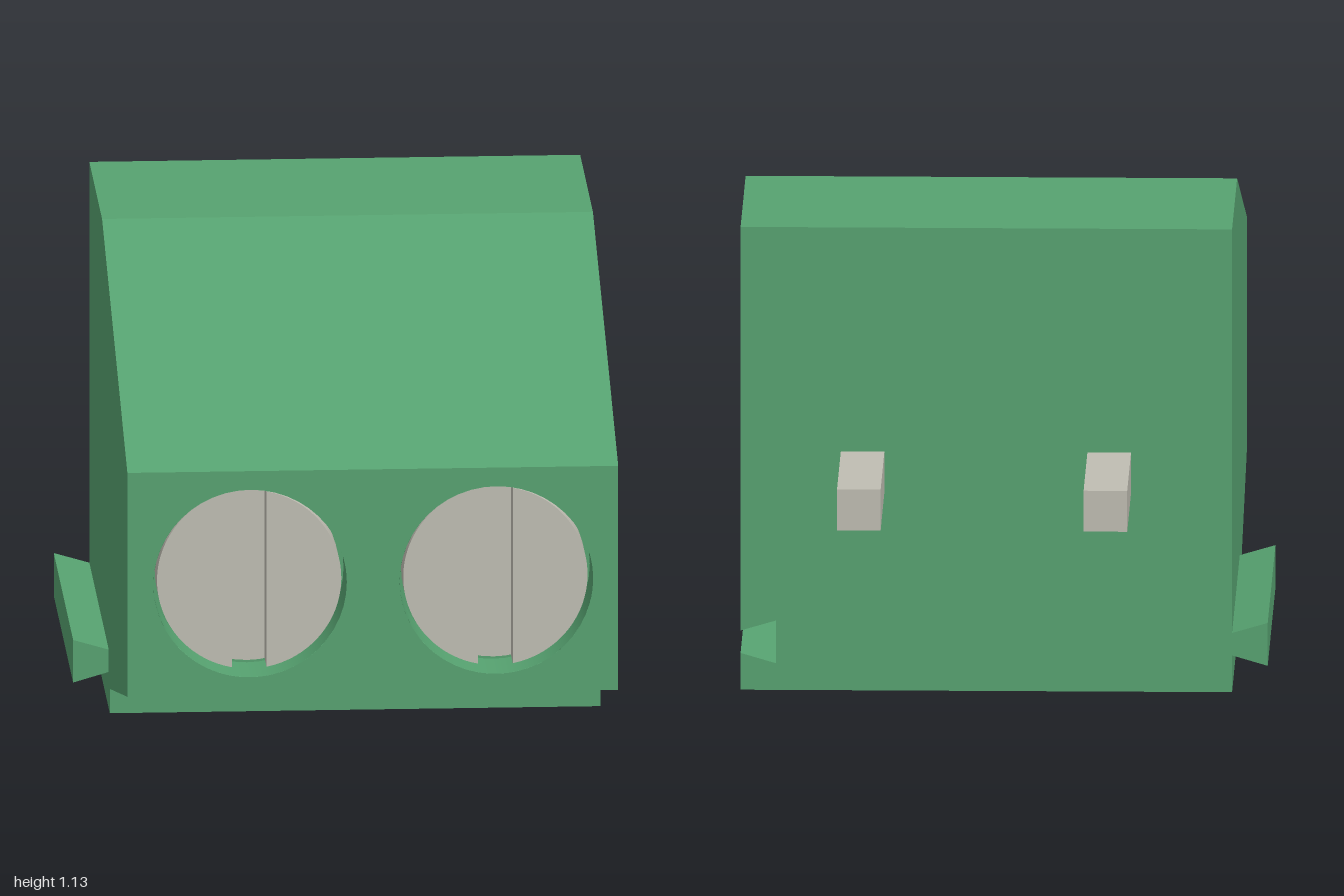
import * as THREE from 'three';

const LEFT = 0.627, RIGHT = -0.545;      // body sides
const BACK = -0.6, FRONT = 1;
const RAIL_END = 0.215;                  // front end of rail and groove
const UNITS = [-0.252, 0.336];           // x of the two terminals
const SCREW_Y = 0.51, HOLE_R = 0.231, SCREW_R = 0.22, SLOT = 0.0415;

const shapeOf = (pts) => new THREE.Shape(pts.map(([x, y]) => new THREE.Vector2(x, y)));

// Quad strips through a list of cross-sections, flat shaded
function loft(sections, closed = false) {
  const n = sections[0].length, index = [];
  for (let i = 0; i < sections.length - 1; i++) {
    for (let j = 0; j < (closed ? n : n - 1); j++) {
      const a = i * n + j, b = i * n + (j + 1) % n, c = b + n, d = a + n;
      index.push(a, b, c, a, c, d);
    }
  }
  const g = new THREE.BufferGeometry();
  g.setAttribute('position', new THREE.Float32BufferAttribute(sections.flat(2), 3));
  g.setIndex(index);
  const flat = g.toNonIndexed();
  flat.computeVertexNormals();
  return flat;
}

export function createModel() {
  const plastic = new THREE.MeshStandardMaterial({ color: 0x56a270, side: THREE.DoubleSide });
  plastic.name = 'green plastic';
  const metal = new THREE.MeshStandardMaterial({ color: 0xbfbdb2 });
  metal.name = 'grey metal';

  const model = new THREE.Group();
  model.name = 'terminalBlock';
  const housing = new THREE.Group();
  housing.name = 'housing';
  model.add(housing);

  const add = (parent, name, geometry, material) => {
    const mesh = new THREE.Mesh(geometry, material);
    mesh.name = name;
    parent.add(mesh);
    return mesh;
  };
  const panel = (name, shape) => add(housing, name, new THREE.ShapeGeometry(shape, 48), plastic);

  // Side profile as [z, y]
  const under = [[0.26, 0], [0.26, 0.06], [FRONT, 0.235]];
  const roof = [[FRONT, 0.787], [-0.065, 1.133], [BACK, 1.133]];
  const strip = (pts) => loft([LEFT, RIGHT].map((x) => pts.map(([z, y]) => [x, y, z])));
  add(housing, 'underside', strip(under), plastic);
  add(housing, 'roof', strip(roof), plastic);

  // Right wall, and left wall with the groove mouth cut out
  panel('rightWall', shapeOf([[BACK, 0], ...under, ...roof])).rotation.y = -Math.PI / 2;
  housing.children.at(-1).position.x = RIGHT;
  const mouth = [[BACK, 0.145], [RAIL_END, 0.145], [RAIL_END, 0.09], [BACK, 0.09]];
  const leftWall = panel('leftWall',
    shapeOf([[BACK, 0], ...under, ...roof, ...mouth].map(([z, y]) => [-z, y])));
  leftWall.rotation.y = Math.PI / 2;
  leftWall.position.x = LEFT;

  // Dovetail groove on the left, as [x, y]
  const groove = [[LEFT, 0.09], [0.542, 0.065], [0.542, 0.17], [LEFT, 0.145]];
  add(housing, 'groove', loft([BACK, RAIL_END].map((z) => groove.map(([x, y]) => [x, y, z]))), plastic);
  const mirrored = (pts) => shapeOf(pts.map(([x, y]) => [-x, y]));
  const grooveEnd = panel('grooveEnd', mirrored(groove));
  const backWall = panel('backWall',
    mirrored([[RIGHT, 0], [LEFT, 0], ...groove, [LEFT, 1.133], [RIGHT, 1.133]]));
  grooveEnd.rotation.y = backWall.rotation.y = Math.PI;
  grooveEnd.position.z = RAIL_END;
  backWall.position.z = BACK;

  // Matching dovetail rail on the right
  const rail = shapeOf([[RIGHT, 0.09], [RIGHT, 0.145], [-0.63, 0.17], [-0.63, 0.065]]);
  add(housing, 'rail', new THREE.ExtrudeGeometry(rail, { depth: RAIL_END - BACK, bevelEnabled: false }), plastic)
    .position.z = BACK;

  // Front wall with screw holes, bottom wall with wire openings
  const front = shapeOf([[RIGHT, 0.235], [LEFT, 0.235], [LEFT, 0.787], [RIGHT, 0.787]]);
  const bottom = shapeOf([[RIGHT, BACK], [LEFT, BACK], [LEFT, 0.26], [RIGHT, 0.26]]);
  const ring = (x, hx, z0, z1) => [[x - hx, z0], [x + hx, z0], [x + hx, z1], [x - hx, z1]];
  for (const x of UNITS) {
    front.holes.push(new THREE.Path().absarc(x, SCREW_Y, HOLE_R, 0, Math.PI * 2, true));
    bottom.holes.push(shapeOf(ring(x, 0.2, -0.41, 0.185)));
  }
  panel('frontWall', front).position.z = FRONT;
  panel('bottomWall', bottom).rotation.x = Math.PI / 2;

  // Screw head half: a disc cut off beside the slot
  const angle = Math.acos(SLOT / SCREW_R);
  const half = new THREE.Shape().absarc(0, 0, SCREW_R, -angle, angle, false);
  const halfGeometry = new THREE.ExtrudeGeometry(half, { depth: 0.08, bevelEnabled: false, curveSegments: 32 });

  for (const x of UNITS) {
    // Screw hole
    const wall = new THREE.CylinderGeometry(HOLE_R, HOLE_R, 0.14, 48, 1, true).rotateX(Math.PI / 2);
    add(housing, 'screwHoleWall', wall, plastic).position.set(x, SCREW_Y, 0.93);
    add(housing, 'screwHoleFloor', new THREE.CircleGeometry(HOLE_R, 48), plastic)
      .position.set(x, SCREW_Y, 0.86);

    // Slotted screw
    const screw = new THREE.Group();
    screw.name = 'screw';
    screw.position.set(x, SCREW_Y, 0.88);
    model.add(screw);
    const core = new THREE.CylinderGeometry(SCREW_R, SCREW_R, 0.06, 48).rotateX(Math.PI / 2);
    add(screw, 'slotFloor', core, metal).position.z = -0.03;
    for (const turn of [0, Math.PI]) add(screw, 'headHalf', halfGeometry, metal).rotation.z = turn;

    // Wire funnel leading to a straight shaft
    const levels = [[0, 0.2, -0.41, 0.185], [0.1, 0.15, -0.23, 0.005], [0.6, 0.15, -0.23, 0.005]];
    const rings = levels.map(([y, hx, z0, z1]) => ring(x, hx, z0, z1).map(([px, z]) => [px, y, z]));
    add(housing, 'wireFunnel', loft(rings, true), plastic);
    const end = panel('wireShaftEnd', shapeOf(ring(x, 0.15, -0.23, 0.005)));
    end.rotation.x = Math.PI / 2;
    end.position.y = 0.6;

    // Contact pin
    add(model, 'pin', new THREE.BoxGeometry(0.104, 0.1, 0.4), metal).position.set(x, 0.535, -0.8);
  }
  return model;
}
